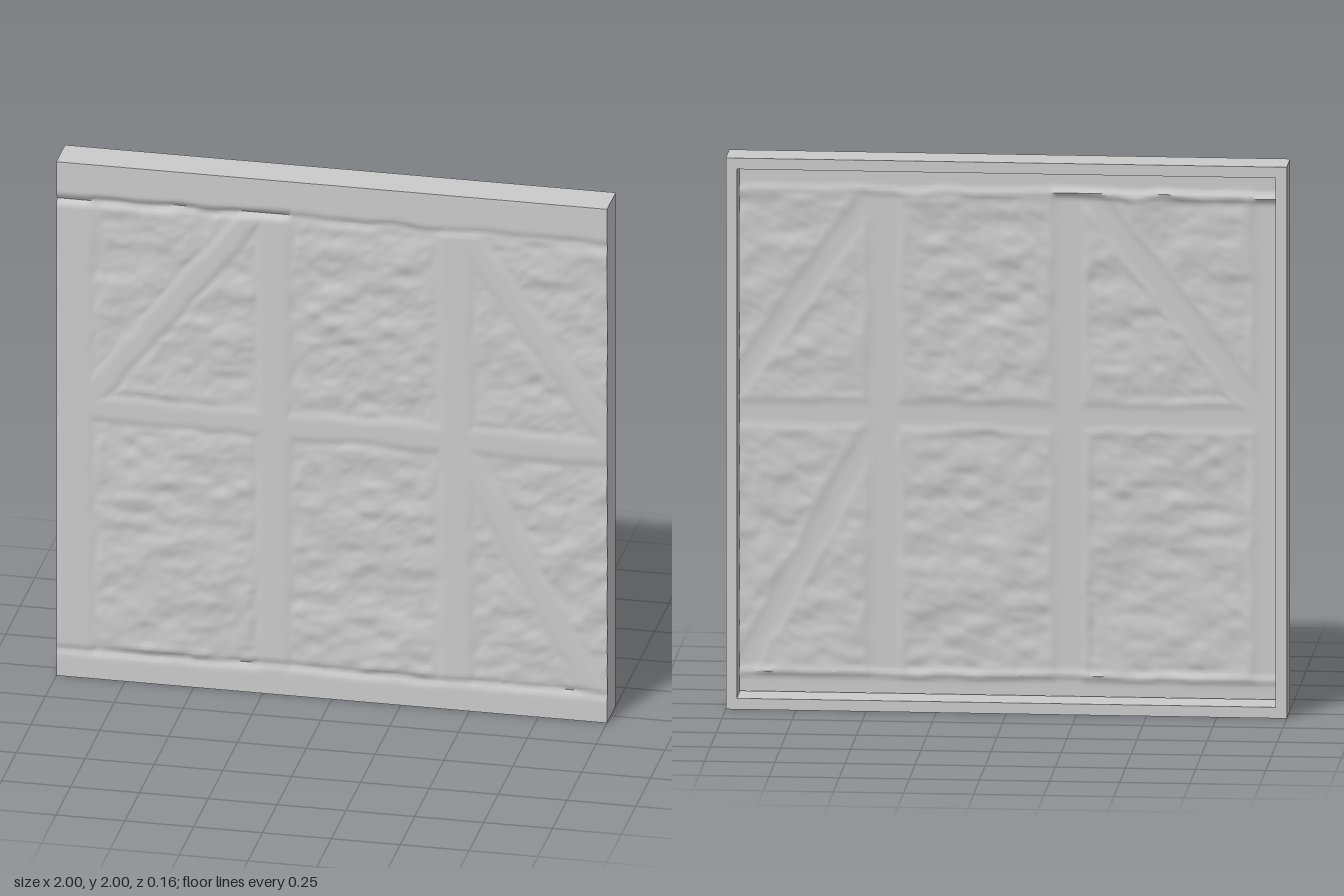
import * as THREE from 'three';
import { toCreasedNormals } from 'three/addons/utils/BufferGeometryUtils.js';

const BACK = -0.085, JOIN = 0.05, FACE = 0.064;
const smooth = THREE.MathUtils.smoothstep;
const lerp = THREE.MathUtils.lerp;

// repeatable value noise in the range -1..1
function hash(i, j) {
  let h = Math.imul(i, 374761393) + Math.imul(j, 668265263);
  h = Math.imul(h ^ (h >>> 13), 1274126177);
  return ((h ^ (h >>> 16)) >>> 0) / 2147483648 - 1;
}
function noise(x, y) {
  const i = Math.floor(x), j = Math.floor(y);
  const u = smooth(x - i, 0, 1), v = smooth(y - j, 0, 1);
  return lerp(lerp(hash(i, j), hash(i + 1, j), u), lerp(hash(i, j + 1), hash(i + 1, j + 1), u), v);
}

// timbers: start x, y, end x, y, half width
const timbers = [
  [-1, 1.95, 1, 1.93, 0.09],         // top rail
  [-1, 0.04, 1, 0.04, 0.07],         // bottom rail
  [-1, 1.05, 1, 1.05, 0.055],        // middle rail
  [-0.94, 0, -0.94, 2, 0.08],        // left post
  [-0.21, 0, -0.21, 2, 0.065],       // inner posts
  [0.45, 0, 0.45, 2, 0.065],
  [-0.88, 1.1, -0.3, 1.84, 0.05],    // braces
  [0.48, 1.86, 1, 1.12, 0.05],
  [0.48, 1.0, 0.96, 0.1, 0.05],
];

// distance from the edge of the nearest timber, negative inside it
function timberDistance(x, y) {
  let best = Infinity;
  for (const [ax, ay, bx, by, half] of timbers) {
    const dx = bx - ax, dy = by - ay;
    const t = THREE.MathUtils.clamp(((x - ax) * dx + (y - ay) * dy) / (dx * dx + dy * dy), 0, 1);
    best = Math.min(best, Math.hypot(x - ax - dx * t, y - ay - dy * t) - half);
  }
  return best;
}

// relief of the wall: flat timbers with rough plaster between them
function relief(x, y) {
  const d = timberDistance(x, y) + 0.008 * noise(x * 14, y * 14);
  const rough = 0.005 * noise(x * 7, y * 11) + 0.004 * noise(x * 15 + 9, y * 24) + 0.0015 * noise(x * 40, y * 50);
  const bulge = 0.009 * Math.exp(-(((x + 0.6) / 0.3) ** 2) - ((y - 0.55) / 0.5) ** 2);
  const groove = -0.004 * Math.exp(-((d / 0.015) ** 2));
  const plaster = 0.061 + rough + bulge;
  let z = lerp(FACE, plaster, smooth(d, -0.008, 0.025)) + groove;
  // deeper shadow gaps under the top rail and above the bottom rail
  const wave = 0.008 * noise(x * 9, 3);
  z -= 0.014 * Math.exp(-(((y - 1.86 - wave) / 0.012) ** 2)) * (x < -0.15 ? 1 : 0.4);
  z -= 0.007 * Math.exp(-(((y - 0.11 - wave) / 0.012) ** 2));
  return Math.max(z, JOIN);
}

export function createModel() {
  const group = new THREE.Group();
  const material = new THREE.MeshStandardMaterial({ color: 0xcccccc, side: THREE.DoubleSide });

  // front sheet: the outer ring of the grid folds back to meet the frame
  const cells = 180, size = 2 + 4 / (cells - 2);
  const sheet = new THREE.PlaneGeometry(size, size, cells, cells);
  const pos = sheet.attributes.position;
  for (let i = 0; i < pos.count; i++) {
    const px = pos.getX(i), py = pos.getY(i);
    const x = THREE.MathUtils.clamp(px, -1, 1), y = THREE.MathUtils.clamp(py, -1, 1) + 1;
    const ring = Math.abs(px) > 1.005 || Math.abs(py) > 1.005;
    pos.setXYZ(i, x, y, ring ? JOIN : relief(x, y));
  }
  const wall = new THREE.Mesh(toCreasedNormals(sheet, 0.9), material);
  wall.name = 'timberAndPlasterFace';
  group.add(wall);

  // thin border around the open back
  const rim = 0.04;
  const outline = new THREE.Shape([[-1, 0], [1, 0], [1, 2], [-1, 2]].map(p => new THREE.Vector2(...p)));
  const a = 1 - rim;
  outline.holes.push(new THREE.Path([[-a, rim], [-a, 2 - rim], [a, 2 - rim], [a, rim]].map(p => new THREE.Vector2(...p))));
  const border = new THREE.ExtrudeGeometry(outline, { depth: JOIN - BACK, bevelEnabled: false });
  border.translate(0, 0, BACK);
  const frame = new THREE.Mesh(border, material);
  frame.name = 'backFrame';
  group.add(frame);

  return group;
}
